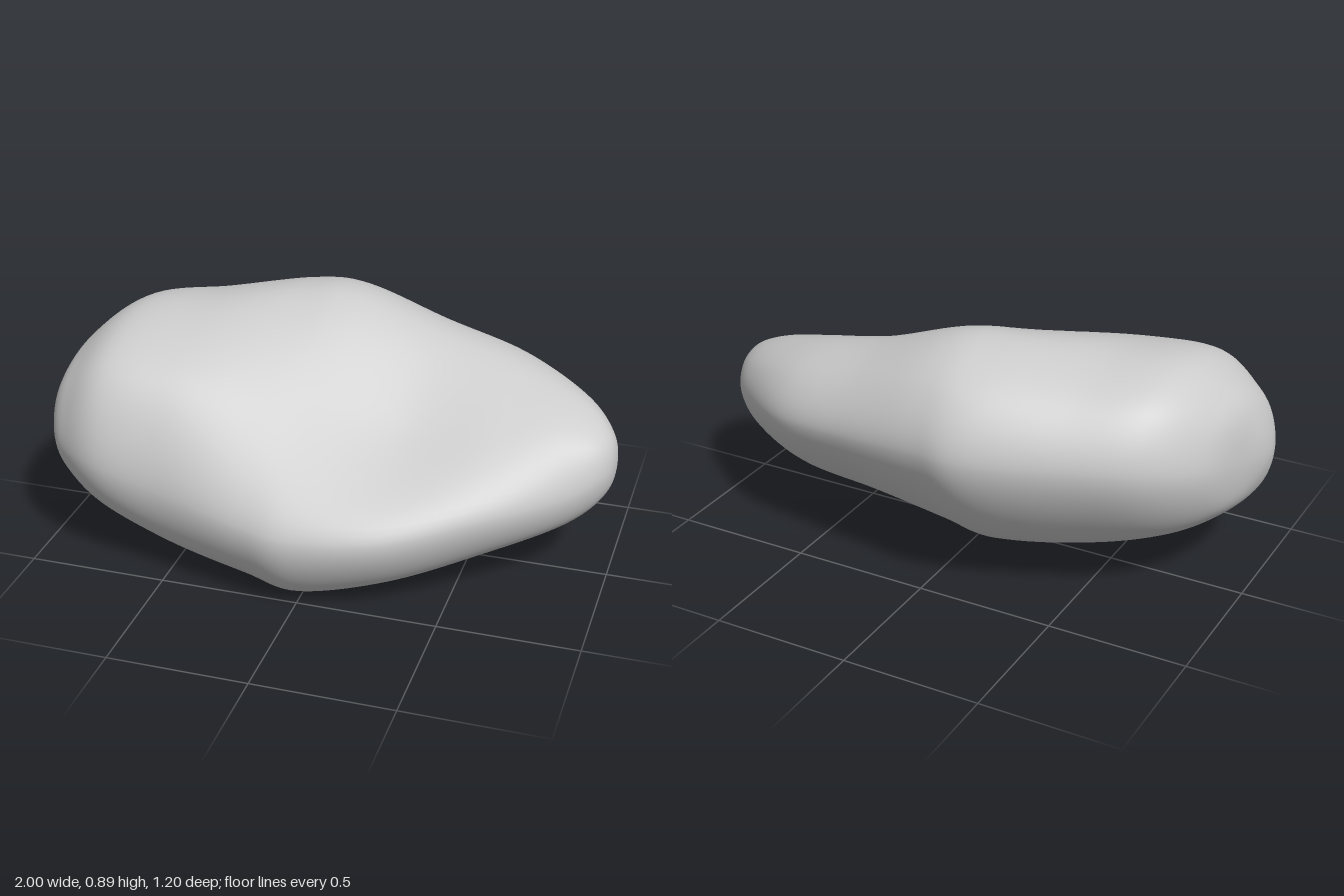
import * as THREE from 'three';
import { mergeVertices } from 'three/addons/utils/BufferGeometryUtils.js';

// Cross-sections along x. Each row: x, bottom (y, z), front (z, y), top (y, z), back (z, y),
// then fullness of the front-top and back-bottom corners (0 = straight, 0.41 = round).
const SECTIONS = [
  [-1.0, 0.46, 0.2, 0.2, 0.46, 0.46, 0.2, 0.2, 0.46, 0.41, 0.41],
  [-0.97, 0.33, 0.23, 0.32, 0.45, 0.61, 0.15, 0.04, 0.48, 0.41, 0.41],
  [-0.9, 0.245, 0.22, 0.41, 0.43, 0.725, 0.08, -0.19, 0.52, 0.42, 0.41],
  [-0.75, 0.15, 0.25, 0.495, 0.42, 0.828, 0.0, -0.365, 0.55, 0.46, 0.42],
  [-0.5, 0.065, 0.31, 0.52, 0.37, 0.85, -0.05, -0.485, 0.56, 0.41, 0.44],
  [-0.2, 0.022, 0.36, 0.573, 0.32, 0.88, -0.17, -0.59, 0.56, 0.22, 0.45],
  [0.0, 0.003, 0.4, 0.593, 0.3, 0.875, -0.2, -0.578, 0.56, 0.09, 0.41],
  [0.3, 0.055, 0.31, 0.53, 0.31, 0.775, -0.2, -0.53, 0.53, 0.02, 0.39],
  [0.6, 0.13, 0.15, 0.36, 0.35, 0.7, -0.18, -0.46, 0.5, 0.15, 0.41],
  [0.85, 0.21, 0.02, 0.175, 0.37, 0.615, -0.12, -0.295, 0.47, 0.35, 0.41],
  [0.97, 0.31, -0.03, 0.06, 0.41, 0.53, -0.06, -0.16, 0.43, 0.41, 0.41],
  [1.0, 0.42, -0.05, -0.05, 0.42, 0.42, -0.05, -0.05, 0.42, 0.41, 0.41],
];

// Row beyond each tip: x mirrors back so that the end closes as a round cap
function rowAt(i) {
  const last = SECTIONS.length - 1;
  if (i >= 0 && i <= last) return SECTIONS[i];
  const tip = SECTIONS[i < 0 ? 0 : last];
  const next = SECTIONS[i < 0 ? 1 : last - 1];
  return tip.map((v, k) => (k === 0 ? next[0] : 2 * v - next[k]));
}

function sectionAt(s) {
  const i = Math.min(Math.floor(s), SECTIONS.length - 2), t = s - i;
  const [before, from, to, after] = [-1, 0, 1, 2].map((o) => rowAt(i + o));
  return from.map((b, k) => {
    const a = before[k], c = to[k], d = after[k];
    return b + 0.5 * t * (c - a + t * (2 * a - 5 * b + 4 * c - d + t * (3 * (b - c) + d - a)));
  });
}

// Closed curve through four extremes and four corners pushed out by their fullness
function outline([x, yB, zB, zF, yF, yT, zT, zK, yK, frontTop, backBottom]) {
  const point = (z, y) => new THREE.Vector3(x, y, z);
  const corner = (z1, y1, z2, y2, zc, yc, k) =>
    point((z1 + z2) / 2, (y1 + y2) / 2).lerp(point(zc, yc), k);
  return new THREE.CatmullRomCurve3([
    point(zB, yB), corner(zB, yB, zF, yF, zF, yB, 0.41),
    point(zF, yF), corner(zF, yF, zT, yT, zF, yT, frontTop),
    point(zT, yT), corner(zT, yT, zK, yK, zK, yT, 0.45),
    point(zK, yK), corner(zK, yK, zB, yB, zK, yB, backBottom),
  ], true, 'centripetal');
}

function stoneGeometry(perSection = 9, around = 96) {
  const positions = [], indices = [];
  const rings = (SECTIONS.length - 1) * perSection;
  for (let i = 0; i <= rings; i++) {
    const curve = outline(sectionAt(i / perSection));
    for (let j = 0; j < around; j++) {
      positions.push(...curve.getPoint(j / around).toArray());
      if (i < rings) {
        const p = i * around + j, q = i * around + ((j + 1) % around);
        indices.push(p, p + around, q, q, p + around, q + around);
      }
    }
  }
  const geometry = new THREE.BufferGeometry();
  geometry.setAttribute('position', new THREE.Float32BufferAttribute(positions, 3));
  geometry.setIndex(indices);
  // Weld the tips, then shade smoothly
  const welded = mergeVertices(geometry, 1e-5);
  welded.computeVertexNormals();
  return welded;
}

export function createModel() {
  const group = new THREE.Group();
  group.name = 'rock';
  const stone = new THREE.Mesh(stoneGeometry(), new THREE.MeshStandardMaterial({ color: 0xcccccc }));
  stone.name = 'stone';
  group.add(stone);
  return group;
}
